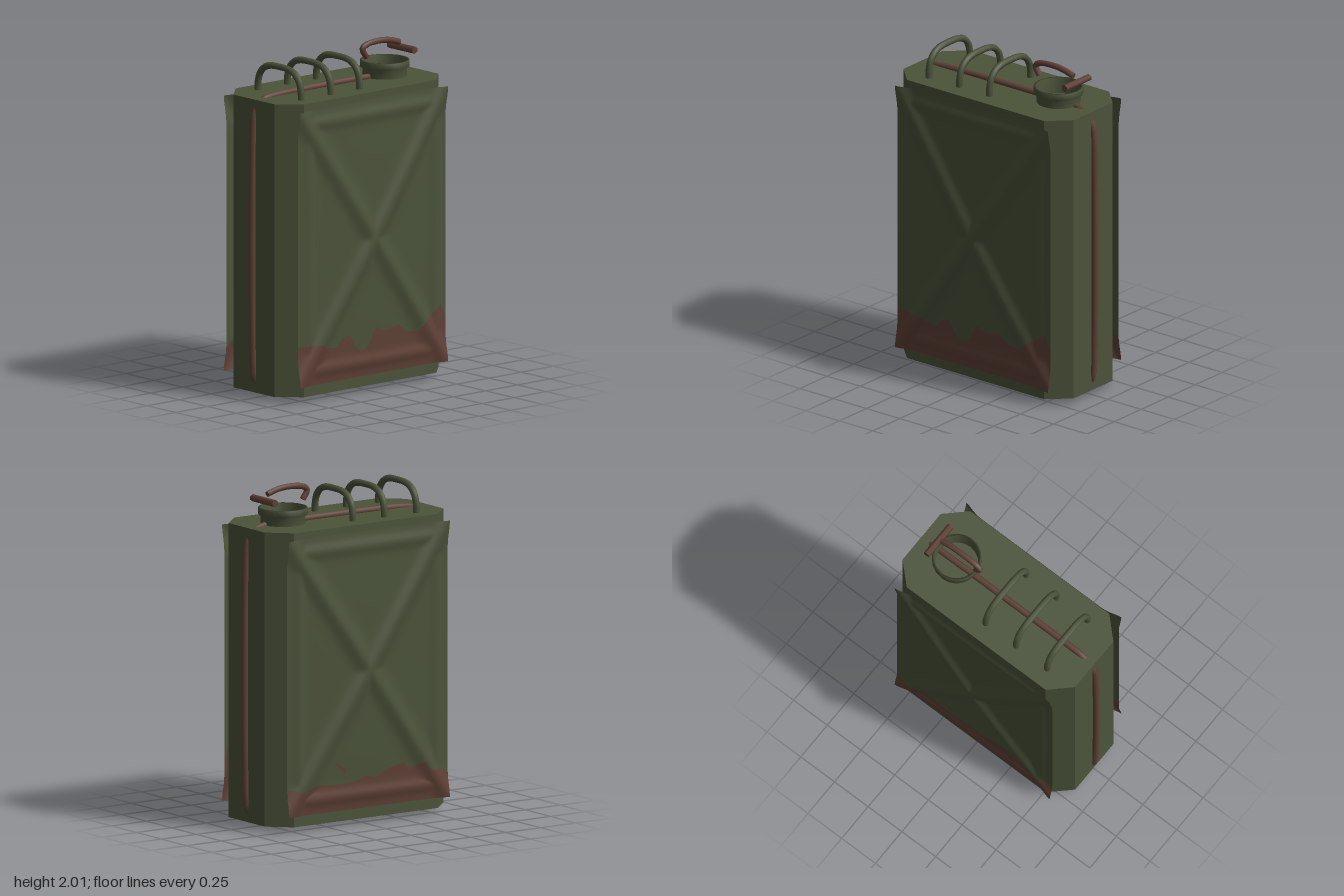
import * as THREE from 'three';

const green = new THREE.MeshStandardMaterial({ color: 0x4b533a, side: THREE.DoubleSide });
green.name = 'olive paint';
const rust = new THREE.MeshStandardMaterial({ color: 0x5f4136, side: THREE.DoubleSide });
rust.name = 'rust';

const PW = 0.575, PY0 = 0.09, PY1 = 1.73;
const V = (x, y, z) => new THREE.Vector3(x, y, z);

function add(parent, name, geometry, material) {
  const mesh = new THREE.Mesh(geometry, material);
  mesh.name = name;
  parent.add(mesh);
  return mesh;
}

// Pressed sheet depth: slight bulge, diagonal cross ribs and a soft frame ridge
function panelDepth(x, y) {
  const u = x / PW, v = (y - (PY0 + PY1) / 2) / ((PY1 - PY0) / 2);
  const bulge = 0.019 * (1 - u * u) * (1 - v * v);
  const len = Math.hypot(PW, (PY1 - PY0) / 2);
  const d = Math.abs(Math.abs(u) - Math.abs(v)) * PW * (PY1 - PY0) / 2 / len;
  const rib = Math.exp(-((d / 0.055) ** 2));
  const inset = Math.min(PW - Math.abs(x), y - PY0, PY1 - y);
  const frame = 0.5 * Math.exp(-(((inset - 0.085) / 0.04) ** 2));
  return 0.313 + bulge + 0.024 * Math.max(rib, frame);
}

// Sheet patch between two height curves, following the pressed surface
function sheet(x0, x1, low, high, nx, ny, lift = 0) {
  const g = new THREE.PlaneGeometry(1, 1, nx, ny);
  const p = g.attributes.position;
  for (let i = 0; i < p.count; i++) {
    const x = THREE.MathUtils.lerp(x0, x1, p.getX(i) + 0.5);
    const y = THREE.MathUtils.lerp(low(x), high(x), p.getY(i) + 0.5);
    p.setXYZ(i, x, y, panelDepth(x, y) + lift);
  }
  g.computeVertexNormals();
  return g;
}

// Piecewise linear height of the rust line
const edgeLine = (pts) => (x) => {
  let i = 1;
  while (i < pts.length - 1 && x > pts[i][0]) i++;
  const [a, b] = [pts[i - 1], pts[i]];
  return a[1] + (b[1] - a[1]) * (x - a[0]) / (b[0] - a[0]);
};

const frontLine = edgeLine([[-0.575, 0.33], [-0.4, 0.325], [-0.36, 0.3], [-0.28, 0.29], [-0.24, 0.335],
  [-0.18, 0.355], [-0.13, 0.27], [-0.08, 0.24], [-0.02, 0.28], [0.02, 0.37], [0.1, 0.34], [0.2, 0.36],
  [0.26, 0.31], [0.36, 0.3], [0.4, 0.35], [0.46, 0.39], [0.54, 0.44], [0.555, 0.38], [0.575, 0.35]]);
// Written in the rear panel's own frame, which is turned half round
const backLine = edgeLine([[-0.575, 0.25], [-0.45, 0.23], [-0.36, 0.26], [-0.25, 0.25], [-0.12, 0.25],
  [0, 0.28], [0.06, 0.26], [0.12, 0.3], [0.25, 0.33], [0.3, 0.29], [0.4, 0.32], [0.45, 0.26],
  [0.52, 0.27], [0.575, 0.23]]);

function panel(name, line) {
  const g = new THREE.Group();
  g.name = name;
  add(g, name + 'Paint', sheet(-PW, PW, line, () => PY1, 92, 90), green);
  add(g, name + 'Rust', sheet(-PW, PW, () => PY0, line, 92, 24), rust);
  return g;
}

function tube(points, radius, segments, sides, closed = false) {
  return new THREE.TubeGeometry(new THREE.CatmullRomCurve3(points, closed), segments, radius, sides, closed);
}

// Flat disc caps for the open ends of a tube
function capEnds(parent, name, points, radius, sides, material) {
  const curve = new THREE.CatmullRomCurve3(points);
  for (const t of [0, 1]) {
    const cap = add(parent, name, new THREE.CircleGeometry(radius, sides), material);
    const dir = curve.getTangent(t).multiplyScalar(t ? 1 : -1);
    cap.position.copy(curve.getPoint(t));
    cap.quaternion.setFromUnitVectors(V(0, 0, 1), dir);
  }
}

export function createModel() {
  const root = new THREE.Group();
  root.name = 'fuelCan';

  // Body with chamfered upright corners
  const outline = new THREE.Shape([[0.515, -0.3], [0.64, -0.18], [0.64, 0.18], [0.515, 0.3],
    [-0.515, 0.3], [-0.64, 0.18], [-0.64, -0.18], [-0.515, -0.3]].map(([x, y]) => new THREE.Vector2(x, y)));
  const bodyGeo = new THREE.ExtrudeGeometry(outline, { depth: 1.745, bevelEnabled: false });
  bodyGeo.rotateX(-Math.PI / 2).translate(0, 0.025, 0);
  add(root, 'body', bodyGeo, green);

  // Pressed side panels
  root.add(panel('frontPanel', frontLine));
  const back = panel('backPanel', backLine);
  back.rotation.y = Math.PI;
  add(back, 'rustSpot', sheet(-0.235, -0.165, (x) => 0.37 - 0.9 * (x + 0.235),
    (x) => 0.385 - 0.7 * (x + 0.235), 4, 4, 0.002), rust);
  root.add(back);

  // Weld seam running round the can
  const seam = [], r = 0.13, hx = 0.643, y0 = 0.02, y1 = 1.77;
  for (const [cx, cy, start] of [[hx - r, y1 - r, 0], [r - hx, y1 - r, 1], [r - hx, y0 + r, 2], [hx - r, y0 + r, 3]]) {
    for (let i = 0; i <= 4; i++) {
      const a = (start + i / 4) * Math.PI / 2;
      seam.push(V(cx + r * Math.cos(a), cy + r * Math.sin(a), 0));
    }
  }
  add(root, 'weldSeam', tube(seam, 0.02, 120, 8, true), rust);

  // Three carrying handles
  const arch = [[1.76, 0.19], [1.82, 0.188], [1.875, 0.17], [1.915, 0.13], [1.932, 0.08], [1.936, 0]];
  for (const x of [-0.44, -0.21, 0.015]) {
    const pts = [...arch.map(([y, z]) => V(x, y, z)), ...arch.slice(0, -1).reverse().map(([y, z]) => V(x, y, -z))];
    add(root, 'handle', tube(pts, 0.02, 32, 8), green);
  }

  // Open filler neck with a rolled rim
  const neckProfile = [[0.13, 1.765], [0.13, 1.825], [0.145, 1.825], [0.145, 1.865], [0.132, 1.865], [0.126, 1.765]];
  const neckGeo = new THREE.LatheGeometry(neckProfile.map(([x, y]) => new THREE.Vector2(x, y)), 20);
  add(root, 'fillerNeck', neckGeo, green).position.x = 0.38;

  // Bent lever and its cross bar
  const lever = [V(0.238, 1.895, 0), V(0.207, 1.95, 0), V(0.24, 1.972, 0), V(0.34, 1.982, 0),
    V(0.42, 1.974, 0), V(0.492, 1.953, 0)];
  add(root, 'lever', tube(lever, 0.018, 28, 8), rust);
  capEnds(root, 'leverEnd', lever, 0.018, 8, rust);
  const bar = add(root, 'crossBar', new THREE.CylinderGeometry(0.022, 0.022, 0.225, 6), rust);
  bar.rotation.x = Math.PI / 2;
  bar.position.set(0.515, 1.917, 0);

  return root;
}
